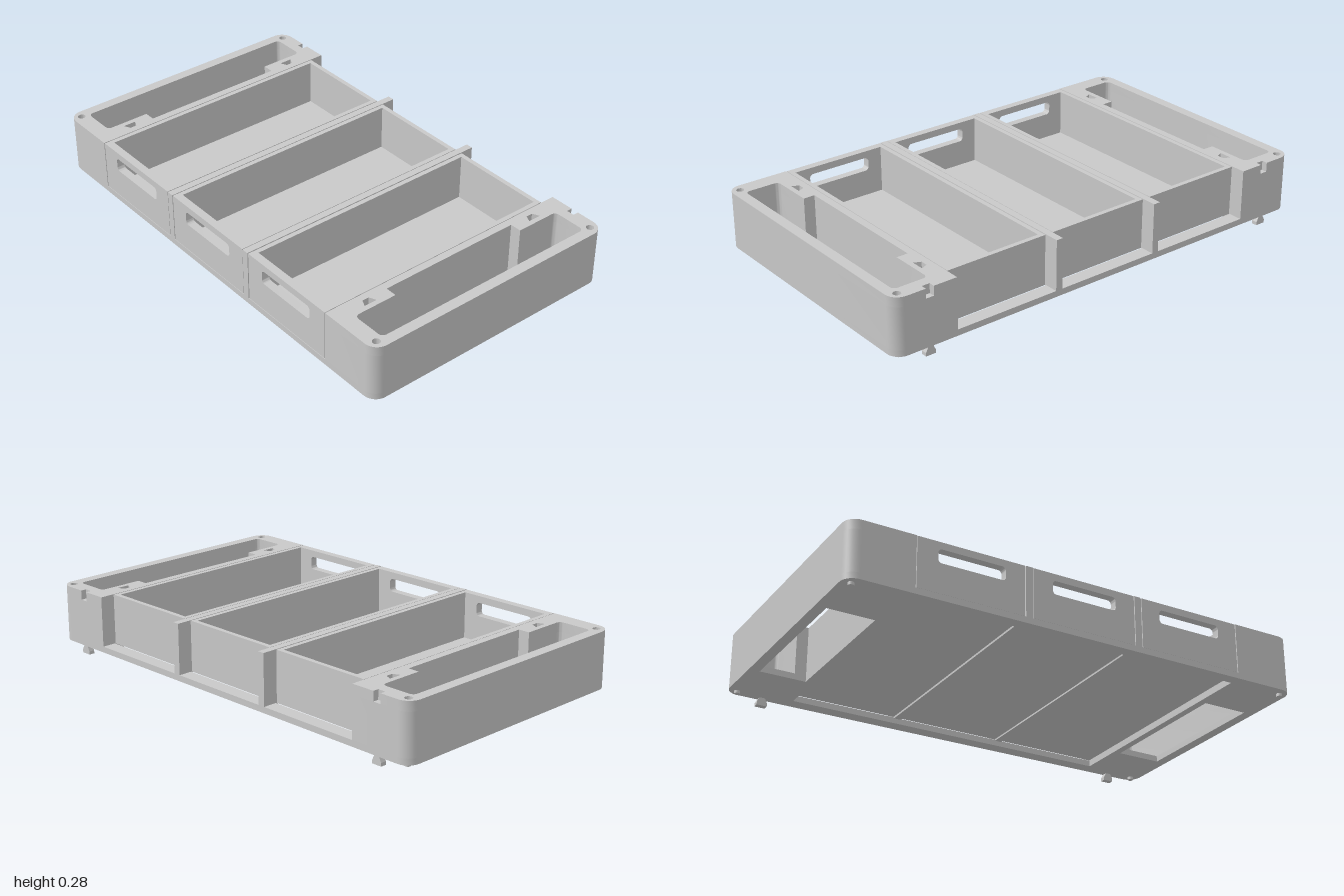
import * as THREE from 'three';
import { toCreasedNormals } from 'three/addons/utils/BufferGeometryUtils.js';

const grey = new THREE.MeshStandardMaterial({ color: 0xc8c8c8 });
grey.name = 'grey plastic';

const BASE = 0.034, FLOOR = 0.06, SLOT = 0.235, TOP = 0.275;

export function createModel() {
  const model = new THREE.Group();
  model.name = 'drawerTray';

  const add = (name, geometry, parent = model) => {
    const mesh = new THREE.Mesh(geometry, grey);
    mesh.name = name;
    parent.add(mesh);
    return mesh;
  };
  // Box given by its limits on each axis
  const box = (name, x0, x1, y0, y1, z0, z1, parent) => {
    const g = new THREE.BoxGeometry(x1 - x0, y1 - y0, z1 - z0);
    g.translate((x0 + x1) / 2, (y0 + y1) / 2, (z0 + z1) / 2);
    return add(name, g, parent);
  };
  // Plan-view outline from [x, z] pairs, mirrored by s, always counter-clockwise
  const trace = (path, pts, s = 1) => {
    const points = pts.map(([x, z]) => new THREE.Vector2(s * x, -z));
    if (THREE.ShapeUtils.isClockWise(points)) points.reverse();
    return path.setFromPoints(points);
  };
  const rect = (x0, x1, z0, z1) => [[x0, z0], [x1, z0], [x1, z1], [x0, z1]];
  // Points of a quarter circle, angles in quarter turns
  const corner = (cx, cz, r, quarter) => Array.from({ length: 9 }, (_, i) => {
    const a = (quarter + i / 8) * Math.PI / 2;
    return [cx + r * Math.cos(a), cz + r * Math.sin(a)];
  });
  // Plan-view shape raised from y0 to y1
  const raise = (shape, y0, y1) => {
    const g = new THREE.ExtrudeGeometry(shape, { depth: y1 - y0, bevelEnabled: false, curveSegments: 10 });
    g.rotateX(-Math.PI / 2).translate(0, y0, 0);
    return toCreasedNormals(g, 0.5);
  };

  // Base frame with one large opening and a window in each end
  const R = 0.055, W = 1, D = 0.58, IN = 0.725;
  const base = trace(new THREE.Shape(), [
    ...corner(W - R, D - R, R, 0), ...corner(-W + R, D - R, R, 1),
    ...corner(-W + R, -D + R, R, 2), ...corner(W - R, -D + R, R, 3)]);
  base.holes.push(trace(new THREE.Path(), rect(-IN, IN, -0.52, 0.53)));
  for (const s of [-1, 1]) base.holes.push(trace(new THREE.Path(), rect(0.757, 0.955, -0.32, 0.315), s));
  add('baseFrame', raise(base, BASE, FLOOR));

  // Hollow end bays: plain lower walls, then a top layer with sockets
  const cavity = [
    ...corner(0.935, 0.488, 0.02, 0), ...corner(0.826, 0.488, 0.02, 1),
    [0.806, 0.315], [0.757, 0.315], [0.757, -0.32], [0.806, -0.32],
    ...corner(0.826, -0.492, 0.02, 2), ...corner(0.935, -0.492, 0.02, 3)];
  const endOutline = (notched) => [
    [IN, D], [IN, -D],
    ...(notched ? [[0.828, -D], [0.828, -0.555], [0.862, -0.555], [0.862, -D]] : []),
    ...corner(W - R, -D + R, R, 3), ...corner(W - R, D - R, R, 0)];

  for (const s of [-1, 1]) {
    const end = new THREE.Group();
    end.name = s > 0 ? 'leftEndBay' : 'rightEndBay';
    model.add(end);

    const lower = trace(new THREE.Shape(), endOutline(false), s);
    lower.holes.push(trace(new THREE.Path(), cavity, s));
    add('endWalls', raise(lower, FLOOR, SLOT), end);

    const upper = trace(new THREE.Shape(), endOutline(true), s);
    upper.holes.push(trace(new THREE.Path(), cavity, s));
    for (const z of [-0.42, 0.415]) {
      upper.holes.push(trace(new THREE.Path(),
        [[0.755, z - 0.015], [0.784, z - 0.028], [0.784, z + 0.028], [0.755, z + 0.015]], s));
    }
    for (const z of [-0.543, 0.54]) {
      const hole = new THREE.Path();
      hole.absarc(s * 0.961, -z, 0.016, 0, Math.PI * 2);
      upper.holes.push(hole);
      // Stacking pin under each corner
      const pin = new THREE.CylinderGeometry(0.012, 0.012, 0.015, 20);
      pin.translate(s * 0.961, BASE - 0.005, z);
      add('stackingPin', pin, end);
    }
    add('endRim', raise(upper, SLOT, TOP), end);

    // Dovetail clip hanging from the back edge
    const clip = new THREE.Shape([
      [-0.022, 0], [0.022, 0], [0.022, 0.014], [0.011, 0.036], [-0.011, 0.036], [-0.022, 0.014],
    ].map(([x, y]) => new THREE.Vector2(x, y)));
    const clipGeometry = new THREE.ExtrudeGeometry(clip, { depth: 0.025, bevelEnabled: false });
    clipGeometry.translate(s * 0.847, 0, -D);
    add('backClip', clipGeometry, end);

    // Divider between two drawers
    const dx = s * 0.247;
    box('divider', dx - 0.015, dx + 0.015, FLOOR - 0.004, TOP, -D, D);
  }

  // Three open drawers with a slotted grip in the front
  const drawer = (name, x0, x1, gripX) => {
    const g = new THREE.Group();
    g.name = name;
    model.add(g);
    const y0 = FLOOR + 0.001, y1 = TOP - 0.0005, back = -0.518, front = 0.545, t = 0.02;
    box('drawerFloor', x0, x1, y0, y0 + 0.015, back, front, g);
    box('drawerSide', x0, x0 + t, y0 + 0.015, y1, back, front, g);
    box('drawerSide', x1 - t, x1, y0 + 0.015, y1, back, front, g);
    box('drawerBack', x0 + t, x1 - t, y0 + 0.015, y1, back, back + 0.02, g);

    const face = new THREE.Shape([[x0, y0], [x1, y0], [x1, y1], [x0, y1]].map(([x, y]) => new THREE.Vector2(x, y)));
    const grip = new THREE.Path(), r = 0.016, h = 0.143, gy0 = 0.187, gy1 = 0.245;
    grip.absarc(gripX + h - r, gy1 - r, r, 0, Math.PI / 2);
    grip.absarc(gripX - h + r, gy1 - r, r, Math.PI / 2, Math.PI);
    grip.absarc(gripX - h + r, gy0 + r, r, Math.PI, Math.PI * 1.5);
    grip.absarc(gripX + h - r, gy0 + r, r, Math.PI * 1.5, Math.PI * 2);
    face.holes.push(grip);
    const faceGeometry = new THREE.ExtrudeGeometry(face, { depth: D - 0.001 - front, bevelEnabled: false, curveSegments: 8 });
    faceGeometry.translate(0, 0, front);
    add('drawerFront', toCreasedNormals(faceGeometry, 0.5), g);
  };
  drawer('rightDrawer', -0.722, -0.266, -0.492);
  drawer('middleDrawer', -0.229, 0.229, 0);
  drawer('leftDrawer', 0.266, 0.722, 0.492);

  return model;
}
